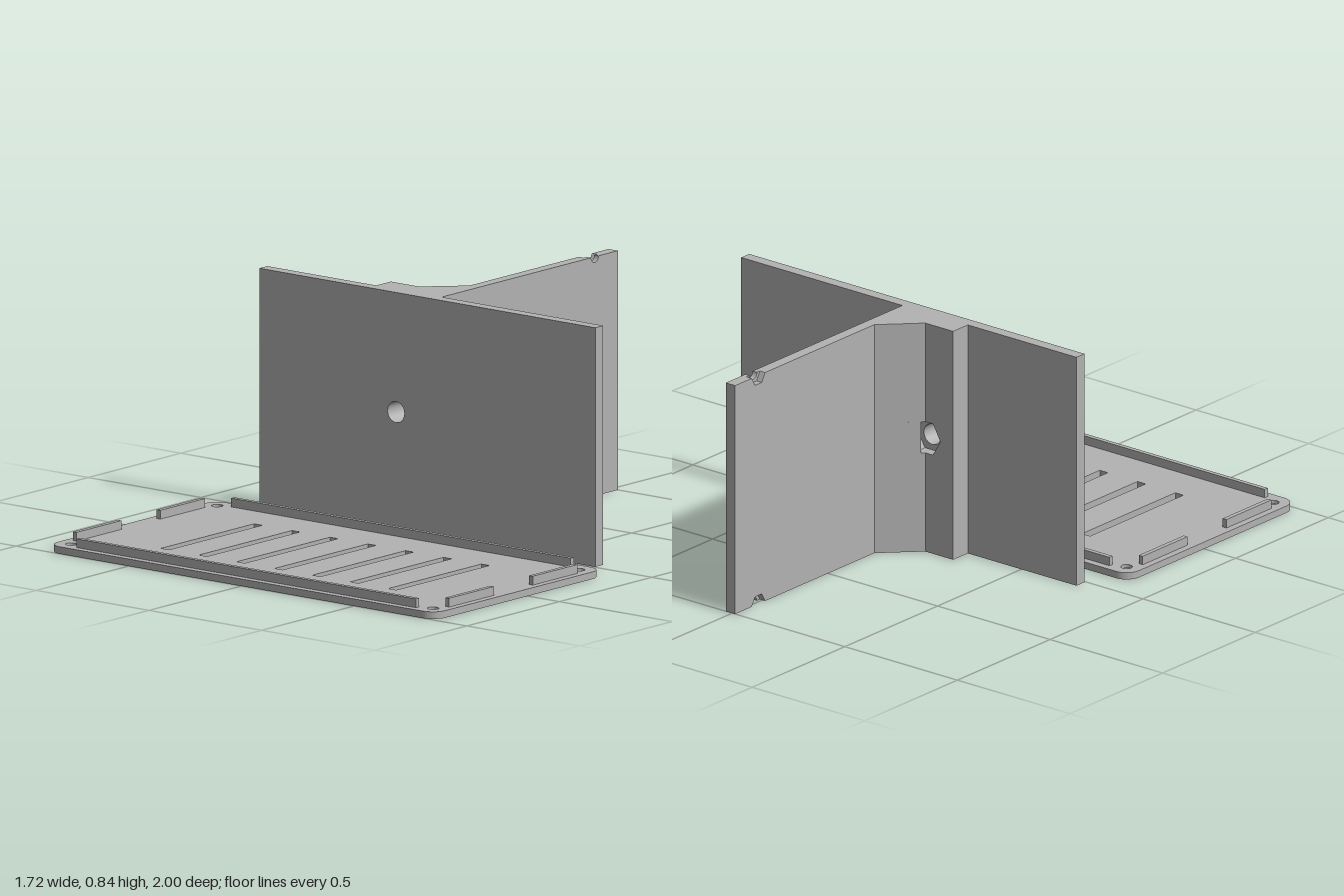
import * as THREE from 'three';

const H = 0.84; // height of the upright panels

const grey = new THREE.MeshStandardMaterial({ color: 0xb2b2b2 });
grey.name = 'grey plastic';

const pts = (list) => list.map(([x, y]) => new THREE.Vector2(x, y));

// Regular ring of points: many sides for a round hole, six for a nut pocket
function ring(cx, cy, r, n, from = 0, sweep = Math.PI * 2) {
  return Array.from({ length: n + 1 }, (_, i) => {
    const a = from + (sweep * i) / n;
    return [cx + r * Math.cos(a), cy + r * Math.sin(a)];
  });
}
const rect = (x0, y0, x1, y1) => [[x0, y0], [x1, y0], [x1, y1], [x0, y1]];

function extrude(outline, holes, depth) {
  const shape = new THREE.Shape(pts(outline));
  for (const h of holes) shape.holes.push(new THREE.Path(pts(h)));
  return new THREE.ExtrudeGeometry(shape, { depth, bevelEnabled: false });
}
// Outline in x,y pushed from z0 to z1
const alongZ = (o, holes, z0, z1) => extrude(o, holes, z1 - z0).translate(0, 0, z0);
// Outline in x,z pushed from y0 to y1
const alongY = (o, holes, y0, y1) => extrude(o, holes, y1 - y0).rotateX(Math.PI / 2).translate(0, y1, 0);
// Outline in -z,y pushed from x0 to x1
const alongX = (o, x0, x1) => extrude(o, [], x1 - x0).rotateY(Math.PI / 2).translate(x0, 0, 0);

function add(group, name, geometry) {
  const mesh = new THREE.Mesh(geometry, grey);
  mesh.name = name;
  group.add(mesh);
}

function buildCover() {
  const cover = new THREE.Group();
  cover.name = 'ventedCover';
  const W = 0.86, z0 = 0.094, z1 = 1, zc = (z0 + z1) / 2, r = 0.055;

  // Rounded rectangle outline
  const q = Math.PI / 2;
  const outline = [
    ...ring(W - r, z1 - r, r, 10, 0, q),
    ...ring(-W + r, z1 - r, r, 10, q, q),
    ...ring(-W + r, z0 + r, r, 10, 2 * q, q),
    ...ring(W - r, z0 + r, r, 10, 3 * q, q),
  ];

  // Vent slots and corner screw holes, wider underneath
  const slots = [];
  for (let i = -3; i <= 3; i++) {
    slots.push(rect(i * 0.168 - 0.018, zc - 0.252, i * 0.168 + 0.018, zc + 0.252));
  }
  const corners = (rad) => [-1, 1].flatMap((sx) =>
    [-1, 1].map((sz) => ring(sx * 0.803, zc + sz * 0.395, rad, 24).slice(0, -1)));
  add(cover, 'coverUnderside', alongY(outline, [...slots, ...corners(0.03)], 0, 0.012));
  add(cover, 'coverTop', alongY(outline, [...slots, ...corners(0.02)], 0.012, 0.025));

  // Locating ribs around the rim
  const rib = (name, w, d, x, z) =>
    add(cover, name, new THREE.BoxGeometry(w, 0.031, d).translate(x, 0.0405, z));
  for (const s of [-1, 1]) {
    rib('longRib', 1.506, 0.017, 0, zc + s * 0.418);
    for (const t of [-1, 1]) rib('sideRib', 0.017, 0.242, s * 0.826, zc + t * 0.226);
  }
  return cover;
}

function buildPanels() {
  const panels = new THREE.Group();
  panels.name = 'crossPanels';
  const webL = -0.013, webR = 0.029;
  const back = -0.048, blockBack = -0.127, pocket = -0.138;
  const hx = -0.139, hy = H / 2, hexR = 0.066;

  const round = ring(hx, hy, 0.037, 32).slice(0, -1);
  const hex = ring(hx, hy, hexR, 6).slice(0, -1);

  // Front panel with a screw hole
  add(panels, 'frontPanel', alongZ(rect(-0.745, 0, 0.745, H), [round], back, -0.005));

  // Thick boss behind the hole with a hexagonal nut pocket
  const boss = rect(-0.262, 0, webL, H);
  add(panels, 'bossFront', alongZ(boss, [round], -0.09, back));
  add(panels, 'bossBack', alongZ(boss, [hex], blockBack, -0.09));

  // Sloping gusset, undercut at the pocket
  const full = [[-0.138, blockBack], [webL, -0.25], [webL, blockBack]];
  const cut = [[hx + hexR, blockBack], [hx + hexR, pocket], [-0.127, pocket],
    [webL, -0.25], [webL, blockBack]];
  const half = hexR * 0.866;
  add(panels, 'gussetLower', alongY(full, [], 0, hy - half));
  add(panels, 'gussetMiddle', alongY(cut, [], hy - half, hy + half));
  add(panels, 'gussetUpper', alongY(full, [], hy + half, H));

  // Rear web with half-hole notches on both edges, hexagonal on its right face
  const web = (r, n) => [
    [-back, 0],
    ...ring(0.875, 0, r, n, Math.PI, -Math.PI),
    [1, 0], [1, H],
    ...ring(0.875, H, r, n, 0, -Math.PI),
    [-back, H],
  ];
  add(panels, 'webNutSide', alongX(web(0.036, 3), webL, 0.01));
  add(panels, 'webScrewSide', alongX(web(0.02, 16), 0.01, webR));
  return panels;
}

export function createModel() {
  const model = new THREE.Group();
  model.name = 'panelAndCover';
  model.add(buildCover(), buildPanels());
  return model;
}
